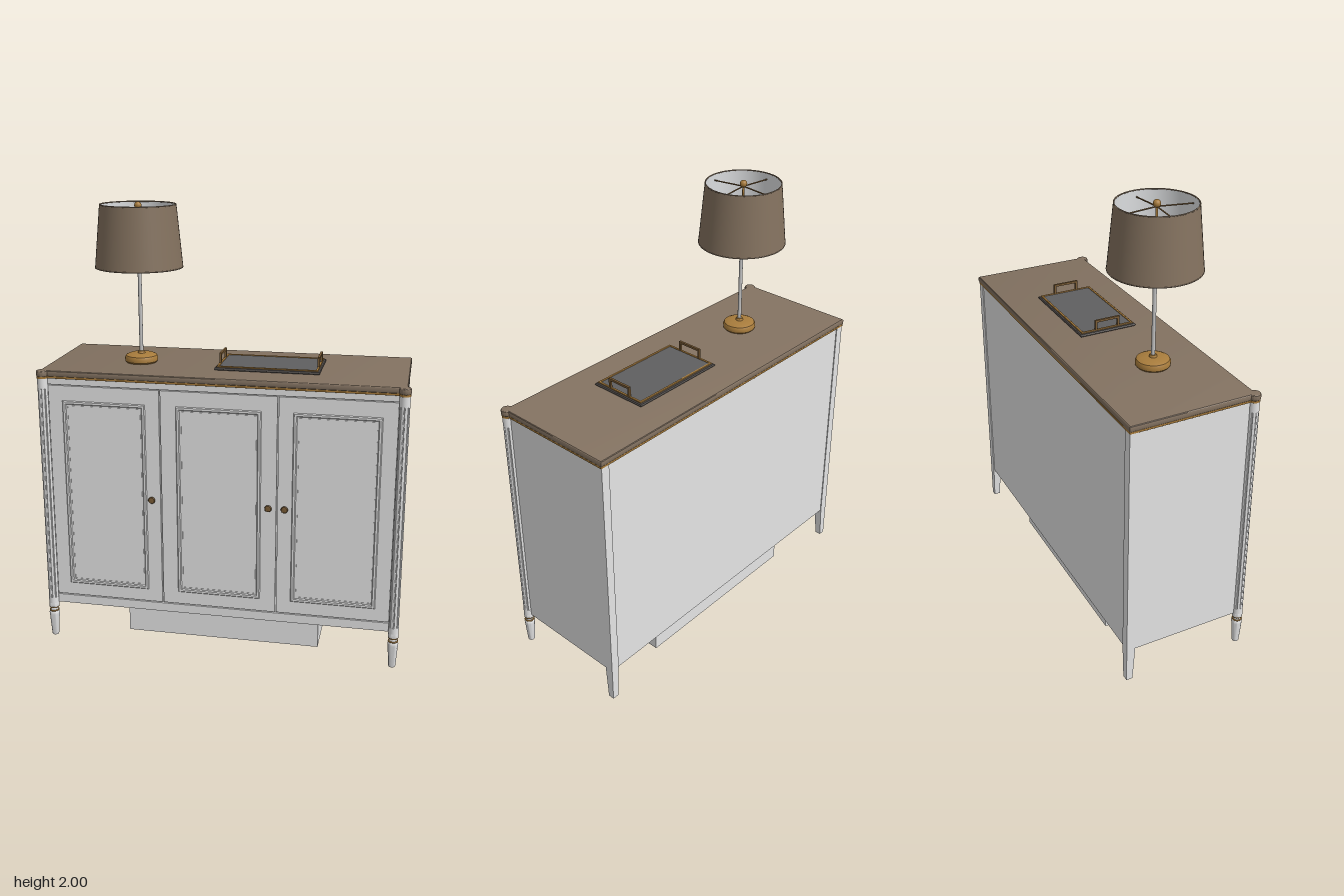
import * as THREE from 'three';
import { toCreasedNormals } from 'three/addons/utils/BufferGeometryUtils.js';

const mat = (name, color, side = THREE.FrontSide) => {
  const m = new THREE.MeshStandardMaterial({ color, side });
  m.name = name;
  return m;
};

export function createModel() {
  const white = mat('white paint', 0xe4e4e4);
  const brown = mat('taupe wood', 0x837261);
  const shadeCloth = mat('shade cloth', 0x84725f, THREE.DoubleSide);
  const lining = mat('shade lining', 0xe6e8ea, THREE.DoubleSide);
  const gold = mat('aged brass', 0xa87c3c);
  const bronze = mat('dark bronze', 0x7a5c36);
  const slate = mat('dark tray edge', 0x4c4846);
  const mirror = mat('tray glass', 0x5f5f60);
  const steel = mat('lamp rod', 0xc4c4c4);

  const root = new THREE.Group();
  root.name = 'sideboard';

  const add = (parent, name, geo, material, x = 0, y = 0, z = 0) => {
    const mesh = new THREE.Mesh(geo, material);
    mesh.name = name;
    mesh.position.set(x, y, z);
    parent.add(mesh);
    return mesh;
  };
  // Box given by its limits on each axis
  const box = (parent, name, material, x0, x1, y0, y1, z0, z1) =>
    add(parent, name, new THREE.BoxGeometry(x1 - x0, y1 - y0, z1 - z0), material,
      (x0 + x1) / 2, (y0 + y1) / 2, (z0 + z1) / 2);
  const lathe = (pts, seg = 32) => toCreasedNormals(
    new THREE.LatheGeometry(pts.map(p => new THREE.Vector2(p[0], p[1])), seg), 0.6);
  // Straight rod between two points
  const rod = (parent, name, material, a, b, r) => {
    const va = new THREE.Vector3(...a), vb = new THREE.Vector3(...b);
    const dir = vb.clone().sub(va);
    const m = add(parent, name, new THREE.CylinderGeometry(r, r, dir.length(), 10), material);
    m.position.copy(va.add(vb).multiplyScalar(0.5));
    m.quaternion.setFromUnitVectors(new THREE.Vector3(0, 1, 0), dir.normalize());
  };
  const rect = (path, w, h) => {
    path.moveTo(-w, -h); path.lineTo(w, -h); path.lineTo(w, h); path.lineTo(-w, h); path.closePath();
    return path;
  };
  // Rectangular frame in the XY plane with bevelled edges
  const frame = (w, h, t, depth, bevel) => {
    const s = rect(new THREE.Shape(), w, h);
    s.holes.push(rect(new THREE.Path(), w - t, h - t));
    return new THREE.ExtrudeGeometry(s, { depth, bevelEnabled: bevel > 0, bevelSize: bevel,
      bevelThickness: bevel, bevelOffset: -bevel, bevelSegments: 1 });
  };

  // Cabinet carcass with a recessed floor
  const body = new THREE.Group();
  body.name = 'cabinet';
  root.add(body);
  box(body, 'carcass', white, -0.795, 0.795, 0.18, 1.25, -0.29, 0.25);
  box(body, 'frontRail', white, -0.78, 0.78, 0.165, 0.206, 0.23, 0.262);
  box(body, 'topRail', white, -0.78, 0.78, 1.222, 1.252, 0.24, 0.262);
  box(body, 'backRail', white, -0.79, 0.79, 0.165, 0.19, -0.29, -0.278);
  for (const s of [-1, 1]) {
    const x = [s * 0.783, s * 0.795].sort((a, b) => a - b);
    box(body, 'sideRail', white, x[0], x[1], 0.165, 0.19, -0.29, 0.25);
  }

  // Three doors with raised mouldings and knobs
  for (const [cx, half] of [[-0.516, 0.252], [0, 0.258], [0.516, 0.252]]) {
    const door = new THREE.Group();
    door.name = 'door';
    body.add(door);
    box(door, 'doorPanel', white, cx - half, cx + half, 0.211, 1.218, 0.245, 0.262);
    add(door, 'doorMoulding', frame(0.189, 0.44, 0.017, 0.004, 0.004), white, cx, 0.71, 0.258);
    add(door, 'doorBead', frame(0.168, 0.419, 0.004, 0.003, 0), white, cx, 0.71, 0.261);
  }
  const knobGeo = lathe([[0, 0], [0.008, 0], [0.006, 0.01], [0.014, 0.014], [0.016, 0.02], [0.013, 0.025], [0, 0.028]], 24);
  knobGeo.rotateX(Math.PI / 2);
  for (const x of [-0.3, 0.225, 0.297]) add(body, 'knob', knobGeo, bronze, x, 0.715, 0.262);

  // Fluted corner columns, turned front legs, tapered back legs
  const flute = new THREE.Shape();
  for (let i = 0; i < 96; i++) {
    const a = i / 96 * Math.PI * 2;
    const r = 0.0225 - 0.004 * Math.pow(Math.max(0, Math.cos(a * 8)), 6);
    flute[i ? 'lineTo' : 'moveTo'](Math.cos(a) * r, Math.sin(a) * r);
  }
  flute.closePath();
  const fluteGeo = toCreasedNormals(new THREE.ExtrudeGeometry(flute,
    { depth: 1.02, bevelEnabled: false }).rotateX(-Math.PI / 2), 0.5);
  const capGeo = (h) => new THREE.CylinderGeometry(0.023, 0.023, h, 32);
  const legGeo = lathe([[0, 0], [0.015, 0], [0.016, 0.006], [0.023, 0.105], [0.024, 0.115], [0.02, 0.124],
    [0.017, 0.13], [0.017, 0.14], [0.023, 0.146], [0.024, 0.155], [0.023, 0.166], [0, 0.166]]);
  const backLegGeo = new THREE.BoxGeometry(0.04, 0.165, 0.04);
  const p = backLegGeo.attributes.position;
  for (let i = 0; i < p.count; i++) {
    if (p.getY(i) < 0) {
      if (p.getX(i) < 0) p.setX(i, -0.009);
      if (p.getZ(i) > 0) p.setZ(i, 0.009);
    }
  }
  backLegGeo.computeVertexNormals();
  const mirroredLeg = backLegGeo.clone().rotateY(Math.PI / 2);
  mirroredLeg.scale(1, 1, 1);
  for (const s of [-1, 1]) {
    const x = s * 0.791, z = 0.267;
    add(body, 'column', fluteGeo, white, x, 0.19, z);
    add(body, 'columnFoot', capGeo(0.03), white, x, 0.18, z);
    add(body, 'columnHead', capGeo(0.05), white, x, 1.23, z);
    add(body, 'frontLeg', legGeo, white, x, 0, z);
    for (const y of [0.126, 0.143]) {
      add(body, 'legRing', new THREE.TorusGeometry(0.0195, 0.0035, 8, 32).rotateX(Math.PI / 2), gold, x, y, z);
    }
    add(body, 'backLeg', s > 0 ? backLegGeo : mirrorX(backLegGeo), white, s * 0.777, 0.0825, -0.274);
    box(body, 'backPost', white, s * 0.777 - 0.02, s * 0.777 + 0.02, 0.165, 1.25, -0.294, -0.254);
  }

  // Worktop with round front corners, over a thin brass band
  const outline = new THREE.Shape();
  const deg = Math.PI / 180;
  outline.moveTo(0.802, 0.297);
  outline.lineTo(-0.802, 0.297);
  outline.absarc(-0.791, -0.267, 0.026, 115 * deg, 348 * deg, false);
  outline.absarc(0.791, -0.267, 0.026, 192 * deg, 425 * deg, false);
  outline.closePath();
  const slab = (h, bevel, inset) => toCreasedNormals(new THREE.ExtrudeGeometry(outline, {
    depth: h - 2 * bevel, bevelEnabled: true, bevelThickness: bevel, bevelSize: bevel,
    bevelOffset: -bevel - inset, bevelSegments: 3, curveSegments: 20,
  }).rotateX(-Math.PI / 2).translate(0, bevel, 0), 0.5);
  add(root, 'brassBand', slab(0.01, 0.001, 0.002), gold, 0, 1.25, 0);
  add(root, 'worktop', slab(0.028, 0.007, 0), brown, 0, 1.258, 0);

  // Hollow plinth under the cabinet, open below
  const plinth = frame(0.45, 0.194, 0.008, 0.18, 0).rotateX(-Math.PI / 2);
  add(root, 'plinth', plinth, white, -0.004, 0.002, -0.029);

  // Serving tray
  const tray = new THREE.Group();
  tray.name = 'tray';
  tray.position.set(0.188, 1.286, -0.004);
  root.add(tray);
  const trayShape = rect(new THREE.Shape(), 0.233, 0.135);
  add(tray, 'trayBase', new THREE.ExtrudeGeometry(trayShape, { depth: 0.002, bevelThickness: 0.006,
    bevelSize: 0.009, bevelOffset: -0.009, bevelSegments: 2 }).rotateX(-Math.PI / 2), slate, 0, 0.006, 0);
  add(tray, 'trayRim', frame(0.224, 0.126, 0.01, 0.008, 0.001).rotateX(-Math.PI / 2), gold, 0, 0.01, 0);
  add(tray, 'trayGlass', new THREE.BoxGeometry(0.43, 0.003, 0.234), mirror, 0, 0.0145, 0);
  for (const s of [-1, 1]) {
    const x = s * 0.219;
    for (const z of [-0.055, 0.055]) box(tray, 'handlePost', bronze, x - 0.005, x + 0.005, 0.015, 0.063, z - 0.005, z + 0.005);
    box(tray, 'handleBar', bronze, x - 0.005, x + 0.005, 0.053, 0.063, -0.06, 0.06);
  }

  // Table lamp
  const lamp = new THREE.Group();
  lamp.name = 'lamp';
  lamp.position.set(-0.405, 0, 0.02);
  root.add(lamp);
  add(lamp, 'lampBase', lathe([[0, 1.286], [0.068, 1.286], [0.074, 1.293], [0.075, 1.308], [0.07, 1.318],
    [0.055, 1.325], [0.02, 1.327], [0, 1.327]], 40), gold);
  add(lamp, 'rodCollar', new THREE.CylinderGeometry(0.014, 0.018, 0.012, 24), gold, 0, 1.331, 0);
  add(lamp, 'lampRod', new THREE.CylinderGeometry(0.0085, 0.0085, 0.38, 20), steel, 0, 1.515, 0);
  add(lamp, 'socket', lathe([[0, 1.688], [0.01, 1.688], [0.011, 1.698], [0.017, 1.702], [0.017, 1.712],
    [0.01, 1.718], [0.012, 1.74], [0.012, 1.775], [0, 1.78]], 24), gold);
  add(lamp, 'innerRod', new THREE.CylinderGeometry(0.005, 0.005, 0.21, 12), gold, 0, 1.875, 0);
  add(lamp, 'finial', new THREE.SphereGeometry(0.016, 20, 14), gold, 0, 1.984, 0);
  for (let i = 0; i < 4; i++) {
    const c = Math.cos(i * Math.PI / 2), s = Math.sin(i * Math.PI / 2);
    rod(lamp, 'topSpoke', bronze, [0, 1.972, 0], [c * 0.164, 1.96, s * 0.164], 0.003);
    rod(lamp, 'lowerSpoke', bronze, [0, 1.72, 0], [c * 0.182, 1.79, s * 0.182], 0.003);
  }
  add(lamp, 'shade', new THREE.CylinderGeometry(0.168, 0.195, 0.275, 64, 1, true), shadeCloth, 0, 1.8525, 0);
  add(lamp, 'shadeLining', new THREE.CylinderGeometry(0.164, 0.191, 0.273, 64, 1, true), lining, 0, 1.8525, 0);
  for (const [r, y] of [[0.166, 1.988], [0.193, 1.717]]) {
    add(lamp, 'shadeTrim', new THREE.TorusGeometry(r, 0.003, 8, 64).rotateX(Math.PI / 2), shadeCloth, 0, y, 0);
  }
  return root;
}

// Mirrors a geometry in x and keeps its faces outward
function mirrorX(geo) {
  const g = geo.clone().scale(-1, 1, 1), idx = g.index;
  for (let i = 0; i < idx.count; i += 3) {
    const a = idx.getX(i);
    idx.setX(i, idx.getX(i + 2));
    idx.setX(i + 2, a);
  }
  g.computeVertexNormals();
  return g;
}
